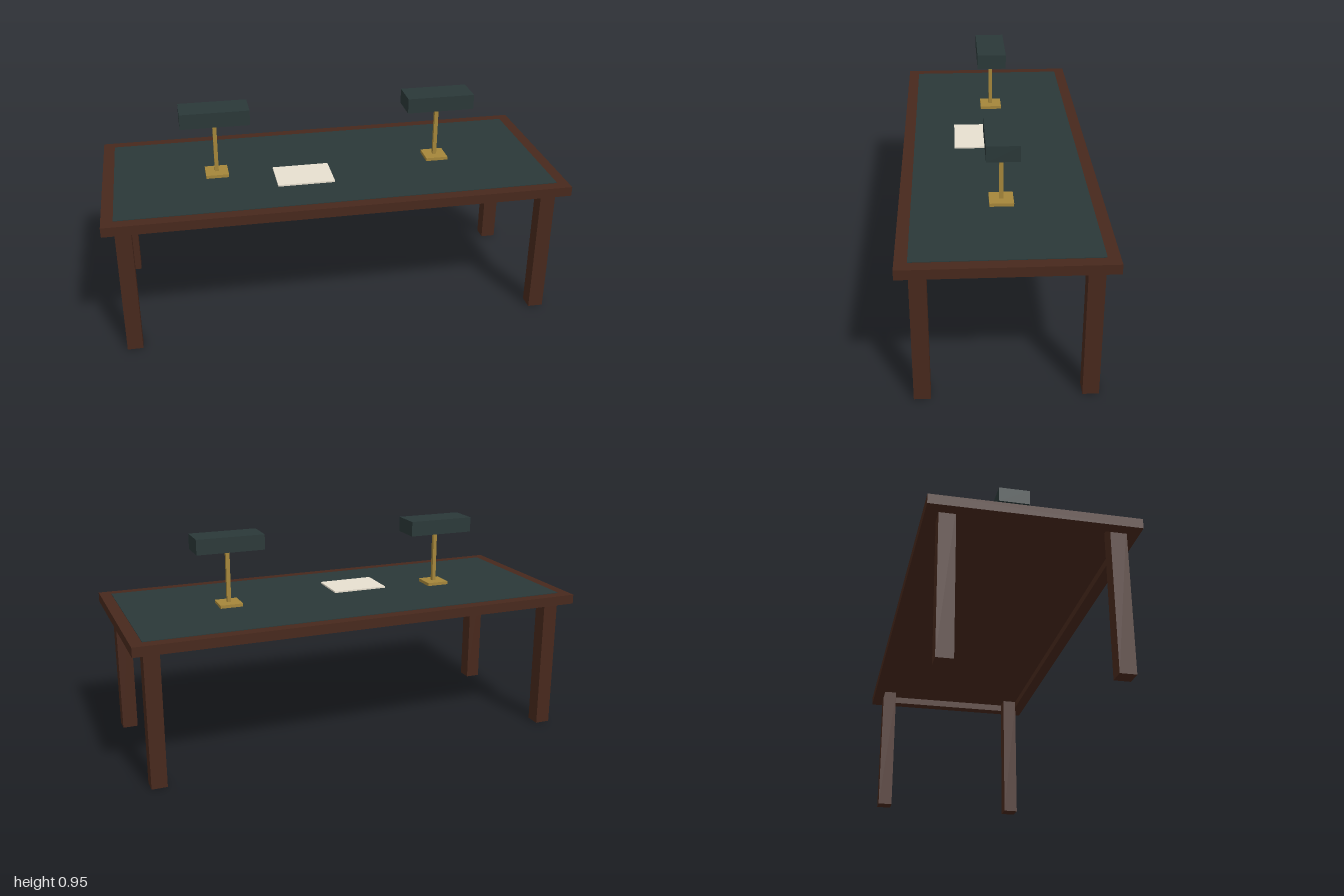
import * as THREE from 'three';

const material = (name, color) => {
  const m = new THREE.MeshStandardMaterial({ color });
  m.name = name;
  return m;
};

export function createModel() {
  const wood = material('dark wood', 0x47281c);
  const green = material('dark green', 0x2a3838);
  const brass = material('brass', 0xa5863a);
  const paper = material('paper', 0xe8e0d0);

  const model = new THREE.Group();
  model.name = 'readingTable';

  const add = (parent, name, geometry, mat) => {
    const mesh = new THREE.Mesh(geometry, mat);
    mesh.name = name;
    parent.add(mesh);
    return mesh;
  };

  // Box given by its extents along each axis
  const box = (parent, name, mat, [x0, x1], [y0, y1], [z0, z1]) => {
    const mesh = add(parent, name, new THREE.BoxGeometry(x1 - x0, y1 - y0, z1 - z0), mat);
    mesh.position.set((x0 + x1) / 2, (y0 + y1) / 2, (z0 + z1) / 2);
    return mesh;
  };

  // Table top: rim frame around a thin panel, with an inset writing surface
  const outline = (target, x, z) => {
    target.moveTo(-x, -z);
    target.lineTo(x, -z);
    target.lineTo(x, z);
    target.lineTo(-x, z);
    target.closePath();
    return target;
  };
  const rim = outline(new THREE.Shape(), 1, 0.4167);
  rim.holes.push(outline(new THREE.Path(), 0.95, 0.3667));
  const rimGeometry = new THREE.ExtrudeGeometry(rim, { depth: 0.0417, bevelEnabled: false });
  rimGeometry.rotateX(-Math.PI / 2);
  add(model, 'tableRim', rimGeometry, wood).position.y = 0.592;
  box(model, 'tablePanel', wood, [-0.95, 0.95], [0.625, 0.632], [-0.3667, 0.3667]);
  box(model, 'writingSurface', green, [-0.95, 0.95], [0.632, 0.636], [-0.3667, 0.3667]);

  // Four square legs
  for (const sx of [-1, 1]) {
    for (const sz of [-1, 1]) {
      const leg = box(model, sz > 0 ? 'frontLeg' : 'backLeg', wood,
        [0.883, 0.95], [0, 0.626], [0.3, 0.3667]);
      leg.position.x *= sx;
      leg.position.z *= sz;
    }
  }

  // Sheet stack on the desk
  box(model, 'paperStack', paper, [-0.25, 0], [0.636, 0.643], [0, 0.1835]);

  // Two desk lamps
  for (const x of [-0.5, 0.5]) {
    const lamp = new THREE.Group();
    lamp.name = x > 0 ? 'leftLamp' : 'rightLamp';
    lamp.position.x = x;
    box(lamp, 'lampBase', brass, [-0.05, 0.05], [0.636, 0.65], [-0.05, 0.05]);
    box(lamp, 'lampPole', brass, [-0.0085, 0.0085], [0.65, 0.884], [-0.0085, 0.0085]);
    box(lamp, 'lampShade', green, [-0.15, 0.15], [0.884, 0.951], [-0.0667, 0.0667]);
    model.add(lamp);
  }

  return model;
}
